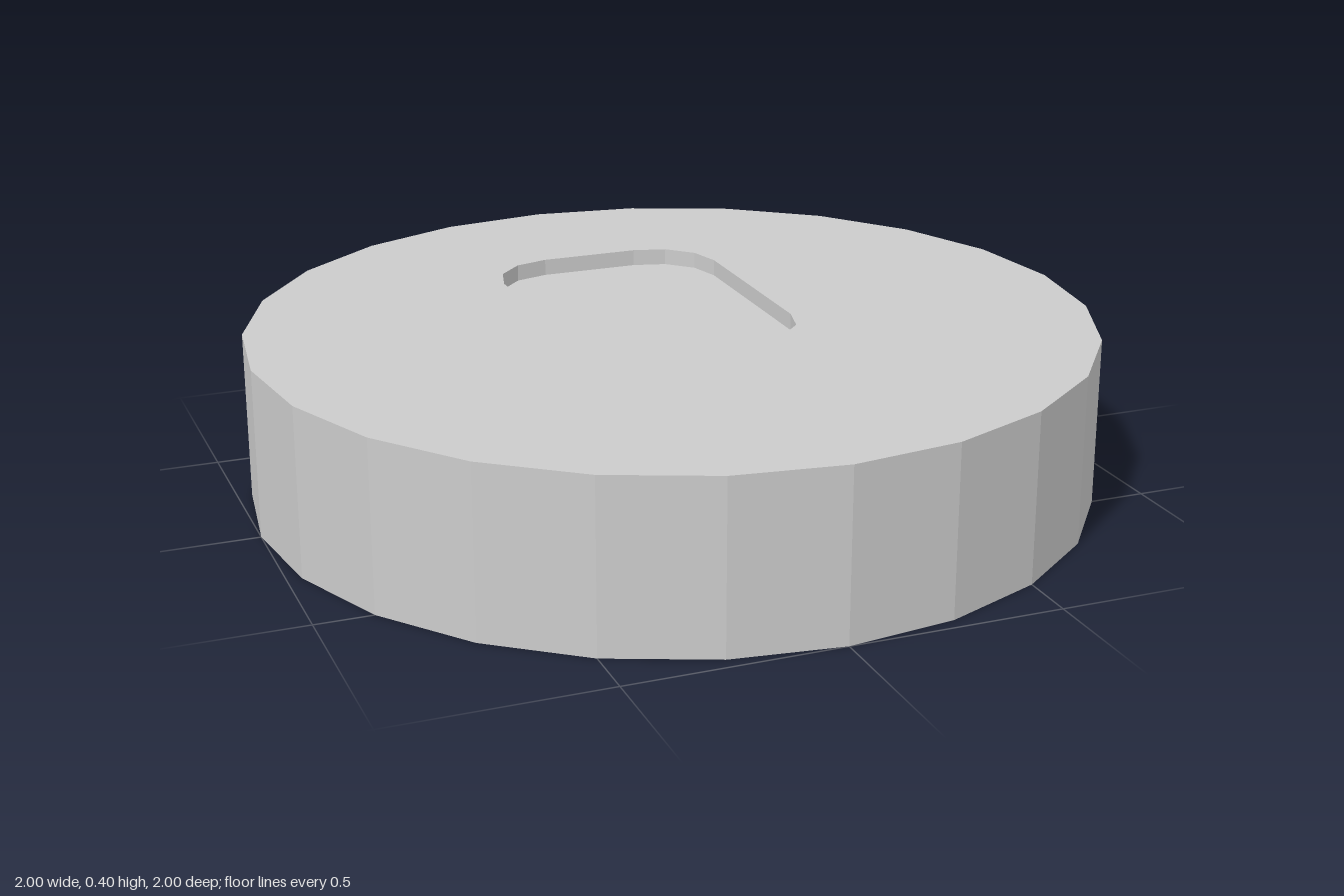
import * as THREE from 'three';
import { mergeGeometries } from 'three/addons/utils/BufferGeometryUtils.js';

const HEIGHT = 0.4, DEPTH = 0.04, SIDES = 24;

// Outline of the disc, counter-clockwise
function discOutline() {
  return Array.from({ length: SIDES }, (_, i) => {
    const a = (i / SIDES) * Math.PI * 2;
    return new THREE.Vector2(Math.cos(a), Math.sin(a));
  });
}

// Rounded rectangle, counter-clockwise, with a few straight steps per corner
function roundedOutline(cx, cy, halfW, halfH, r, steps) {
  const points = [];
  [[1, 1], [-1, 1], [-1, -1], [1, -1]].forEach(([sx, sy], corner) => {
    for (let i = 0; i <= steps; i++) {
      const a = (corner + i / steps) * Math.PI / 2;
      points.push(new THREE.Vector2(
        cx + sx * (halfW - r) + r * Math.cos(a),
        cy + sy * (halfH - r) + r * Math.sin(a)));
    }
  });
  return points;
}

// Flat face at height y, with an optional hole
function face(outline, y, hole) {
  const shape = new THREE.Shape(outline);
  if (hole) shape.holes.push(new THREE.Path(hole));
  return new THREE.ShapeGeometry(shape).rotateX(-Math.PI / 2).translate(0, y, 0)
    .toNonIndexed().deleteAttribute('uv');
}

// Upright wall along a closed outline; faces outward for counter-clockwise points
function wall(outline, y0, y1) {
  const pos = [];
  outline.forEach((a, i) => {
    const b = outline[(i + 1) % outline.length];
    const a0 = [a.x, y0, -a.y], a1 = [a.x, y1, -a.y];
    const b0 = [b.x, y0, -b.y], b1 = [b.x, y1, -b.y];
    pos.push(...a0, ...b0, ...b1, ...a0, ...b1, ...a1);
  });
  const g = new THREE.BufferGeometry();
  g.setAttribute('position', new THREE.Float32BufferAttribute(pos, 3));
  g.computeVertexNormals();
  return g;
}

export function createModel() {
  const group = new THREE.Group();
  const material = new THREE.MeshStandardMaterial({ color: 0xcccccc, flatShading: true });
  const add = (name, parts) => {
    const mesh = new THREE.Mesh(mergeGeometries(parts), material);
    mesh.name = name;
    group.add(mesh);
  };

  const disc = discOutline();
  const pocket = roundedOutline(0, 0.18, 0.28, 0.4, 0.16, 3);

  // Faceted disc: side wall, pierced top and closed underside
  const underside = face(disc, 0).rotateX(Math.PI);
  add('disc', [wall(disc, 0, HEIGHT), face(disc, HEIGHT, pocket), underside]);

  // Shallow pocket sunk into the top, off-centre towards the back
  add('recess', [
    face(pocket, HEIGHT - DEPTH),
    wall([...pocket].reverse(), HEIGHT - DEPTH, HEIGHT),
  ]);

  return group;
}
